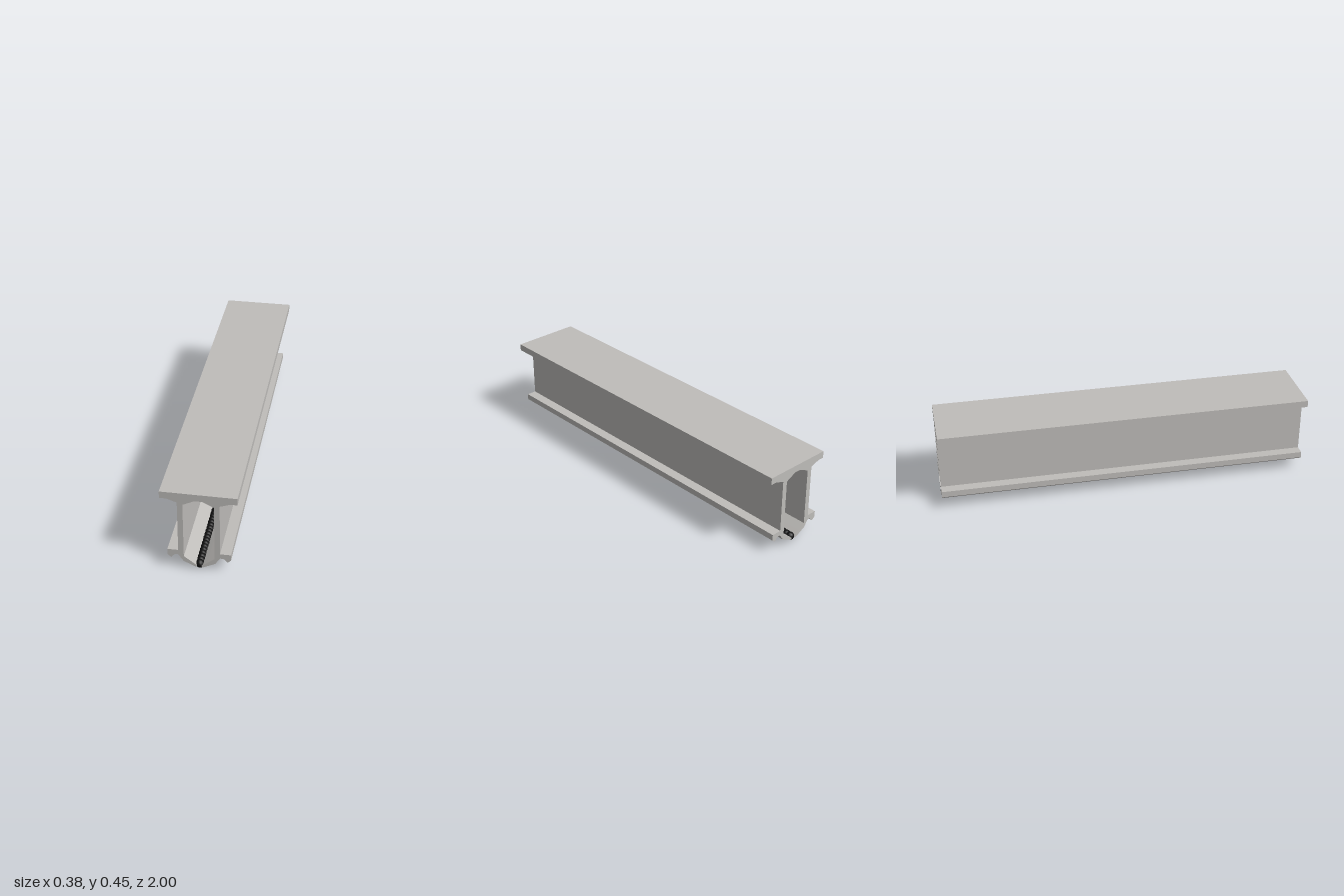
import * as THREE from 'three';

export function createModel() {
  const model = new THREE.Group();
  const concrete = new THREE.MeshStandardMaterial({ color: 0xbfbdba });
  concrete.name = 'concrete grey';
  const black = new THREE.MeshStandardMaterial({ color: 0x111111 });
  black.name = 'seam black';

  const length = 2;

  // Half of the cross-section, from the top centre around the outside and back up the inside
  const half = [
    [0.188, 0.452], [0.188, 0.415], [0.154, 0.415], [0.103, 0.397],   // top slab and haunch
    [0.103, 0.11], [0.157, 0.11], [0.157, 0.077], [0.139, 0.062],     // web and side ledge
    [0.12, 0.083], [0.104, 0.083], [0.078, 0.046],                    // drip groove
    [0.018, 0.016], [0.011, 0.023], [0.018, 0.031],                   // lip
    [0.04, 0.048], [0.076, 0.075], [0.076, 0.387], [0.018, 0.415],    // inside of the channel
  ];
  const mirrored = half.map(([x, y]) => [-x, y]).reverse();
  const profile = new THREE.Shape([...half, ...mirrored].map(([x, y]) => new THREE.Vector2(x, y)));
  const beamGeometry = new THREE.ExtrudeGeometry(profile, { depth: length, bevelEnabled: false });
  beamGeometry.translate(0, 0, -length / 2);
  const beam = new THREE.Mesh(beamGeometry, concrete);
  beam.name = 'beam';
  model.add(beam);

  // Row of overlapping beads closing the gap between the two lips
  const seam = new THREE.Group();
  seam.name = 'bottomSeam';
  const radius = 0.022;
  const count = 80;
  const beadGeometry = new THREE.SphereGeometry(radius, 10, 8);
  beadGeometry.rotateX(Math.PI / 2);
  for (let i = 0; i < count; i++) {
    const bead = new THREE.Mesh(beadGeometry, black);
    bead.name = 'seamBead';
    const reach = length / 2 - radius;
    bead.position.set(0, radius, -reach + (2 * reach * i) / (count - 1));
    seam.add(bead);
  }
  model.add(seam);

  return model;
}
